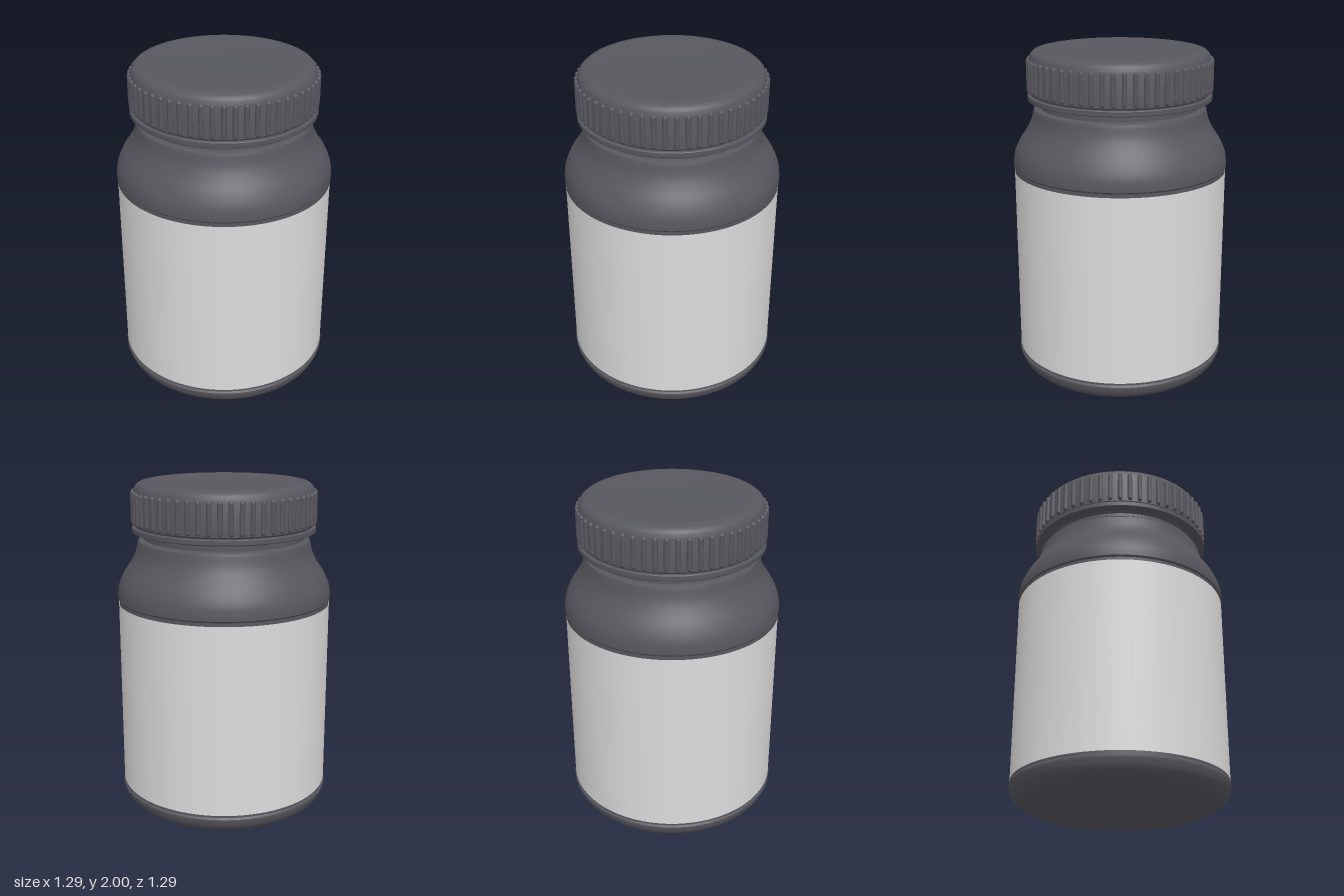
import * as THREE from 'three';
import { toCreasedNormals } from 'three/addons/utils/BufferGeometryUtils.js';

const SEGMENTS = 112;

export function createModel() {
  const plastic = new THREE.MeshStandardMaterial({ color: 0x57575e });
  plastic.name = 'dark grey plastic';
  const paper = new THREE.MeshStandardMaterial({ color: 0xdcdcdc, side: THREE.DoubleSide });
  paper.name = 'pale label';

  const jar = new THREE.Group();
  jar.name = 'jar';

  const add = (parent, name, geometry, material) => {
    const mesh = new THREE.Mesh(geometry, material);
    mesh.name = name;
    parent.add(mesh);
    return mesh;
  };
  // Turned part, profile listed from bottom to top
  const turned = (profile) => toCreasedNormals(
    new THREE.LatheGeometry(profile.map(([r, y]) => new THREE.Vector2(r, y)), SEGMENTS), 0.6);
  // Sampled smooth stretch of a profile
  const smooth = (points, n) => new THREE.SplineCurve(
    points.map(([r, y]) => new THREE.Vector2(r, y))).getPoints(n).map((p) => [p.x, p.y]);

  // Bottle: rounded foot, recessed label panel, sloping shoulder, neck
  add(jar, 'bottle', turned([
    [0, 0.005], [0.47, 0.005], [0.5, 0],
    ...smooth([[0.535, 0.002], [0.585, 0.022], [0.625, 0.06], [0.643, 0.105]], 12),
    [0.643, 0.115], [0.635, 0.125], [0.635, 1.3], [0.643, 1.31],
    ...smooth([[0.643, 1.335], [0.634, 1.39], [0.605, 1.455], [0.562, 1.52],
      [0.532, 1.58], [0.516, 1.645]], 24),
    [0.512, 1.656], [0.5, 1.662], [0.478, 1.664], [0.478, 1.72],
  ]), plastic);

  // Wrapped label
  add(jar, 'label', new THREE.CylinderGeometry(0.639, 0.639, 1.14, SEGMENTS, 1, true), paper)
    .position.y = 0.71;

  // Cap: inner skirt, tamper ring, wall and rounded lid
  const cap = new THREE.Group();
  cap.name = 'cap';
  jar.add(cap);
  add(cap, 'tamperRing', turned([
    [0.47, 1.675], [0.487, 1.675], [0.487, 1.695], [0.5, 1.708], [0.546, 1.708],
    [0.549, 1.712], [0.549, 1.736], [0.545, 1.74], [0.52, 1.742],
  ]), plastic);
  add(cap, 'lid', turned([
    [0.5, 1.735], [0.527, 1.74], [0.537, 1.752], [0.537, 1.945],
    ...smooth([[0.535, 1.95], [0.525, 1.974], [0.503, 1.992], [0.465, 2]], 10),
    [0.44, 1.999], [0.4, 1.996], [0, 1.996],
  ]), plastic);

  // Grip ribs around the cap wall
  const ribCount = 56;
  const ribShape = new THREE.CapsuleGeometry(0.015, 0.165, 4, 8);
  for (let i = 0; i < ribCount; i++) {
    const angle = (i / ribCount) * Math.PI * 2;
    add(cap, 'gripRib', ribShape, plastic)
      .position.set(Math.sin(angle) * 0.539, 1.853, Math.cos(angle) * 0.539);
  }
  return jar;
}
